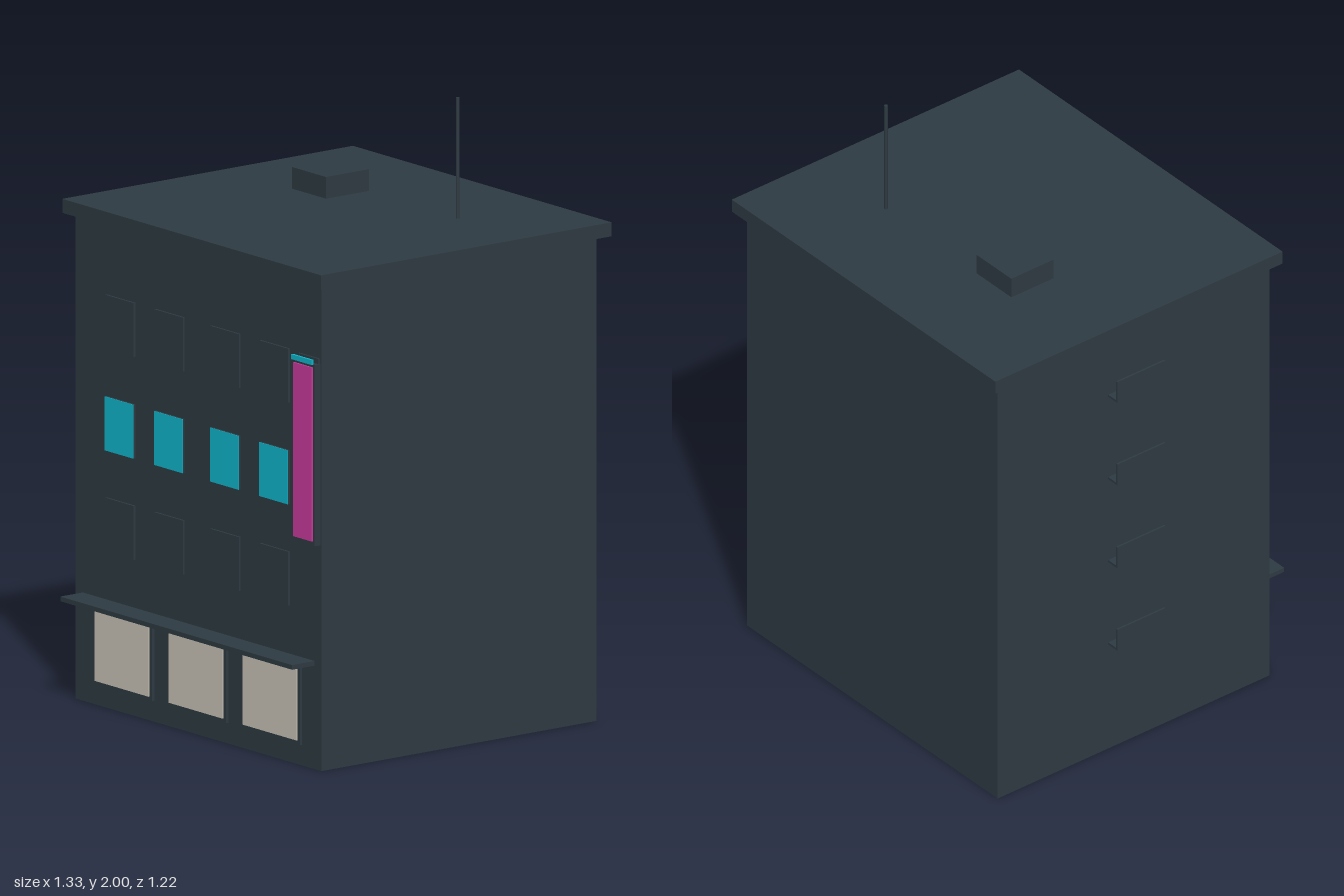
import * as THREE from 'three';

const mat = (name, color) => Object.assign(new THREE.MeshStandardMaterial({ color }), { name });

export function createModel() {
  const model = new THREE.Group();
  model.name = 'building';
  const slate = mat('slate', 0x2e3b42);
  const cyan = mat('cyan', 0x10b8ce);
  const magenta = mat('magenta', 0xcc3a9f);
  const cream = mat('cream', 0xccc6b9);

  // Box given by its low and high limits on each axis
  const box = (name, material, [x0, x1], [y0, y1], [z0, z1], parent = model) => {
    const mesh = new THREE.Mesh(new THREE.BoxGeometry(x1 - x0, y1 - y0, z1 - z0), material);
    mesh.position.set((x0 + x1) / 2, (y0 + y1) / 2, (z0 + z1) / 2);
    mesh.name = name;
    parent.add(mesh);
    return mesh;
  };
  const group = (name) => {
    const g = new THREE.Group();
    g.name = name;
    model.add(g);
    return g;
  };

  // Main block and roof
  const front = 0.52;
  box('walls', slate, [-0.62, 0.63], [0, 1.565], [-0.578, front]);
  box('roofSlab', slate, [-0.652, 0.663], [1.565, 1.61], [-0.613, 0.547]);
  box('roofHatch', slate, [-0.315, -0.142], [1.61, 1.68], [-0.276, -0.105]);
  const antenna = new THREE.Mesh(new THREE.CylinderGeometry(0.006, 0.006, 0.39, 8), slate);
  antenna.position.set(0.32, 1.805, -0.268);
  antenna.name = 'antenna';
  model.add(antenna);

  // Three rows of upper windows, the middle row lit
  const windows = group('upperWindows');
  for (const y of [0.505, 0.832, 1.16]) {
    const lit = y === 0.832;
    for (const x of [-0.46, -0.21, 0.075, 0.325]) {
      box('windowPanel', slate, [x, x + 0.145], [y, y + 0.174], [front, 0.527], windows);
      if (lit) box('litPane', cyan, [x, x + 0.145], [y, y + 0.174], [0.527, 0.529], windows);
    }
  }

  // Shop windows and canopy
  const shop = group('shopFront');
  for (const x of [-0.368, 0.008, 0.383]) {
    box('shopFrame', slate, [x - 0.149, x + 0.149], [0.067, 0.333], [front, 0.529], shop);
    box('shopPane', cream, [x - 0.137, x + 0.137], [0.08, 0.322], [0.529, 0.533], shop);
  }
  box('canopy', slate, [-0.582, 0.596], [0.334, 0.349], [front, 0.61], shop);

  // Vertical sign with a coloured face and a light bar on top
  const sign = group('verticalSign');
  box('signCase', slate, [0.517, 0.626], [0.728, 1.313], [front, 0.544], sign);
  box('signFace', magenta, [0.525, 0.618], [0.743, 1.304], [0.544, 0.55], sign);
  box('signLight', cyan, [0.52, 0.622], [1.314, 1.33], [0.546, 0.554], sign);
  box('signLightMount', slate, [0.52, 0.622], [1.313, 1.33], [front, 0.527], sign);

  // Small side ledges with an upright panel
  const ledges = group('sideLedges');
  for (const y of [0.394, 0.706, 1.02, 1.332]) {
    box('ledgeFloor', slate, [-0.667, -0.62], [y, y + 0.008], [-0.132, 0.062], ledges);
    box('ledgePanel', slate, [-0.667, -0.66], [y, y + 0.08], [-0.132, 0.062], ledges);
  }
  return model;
}
